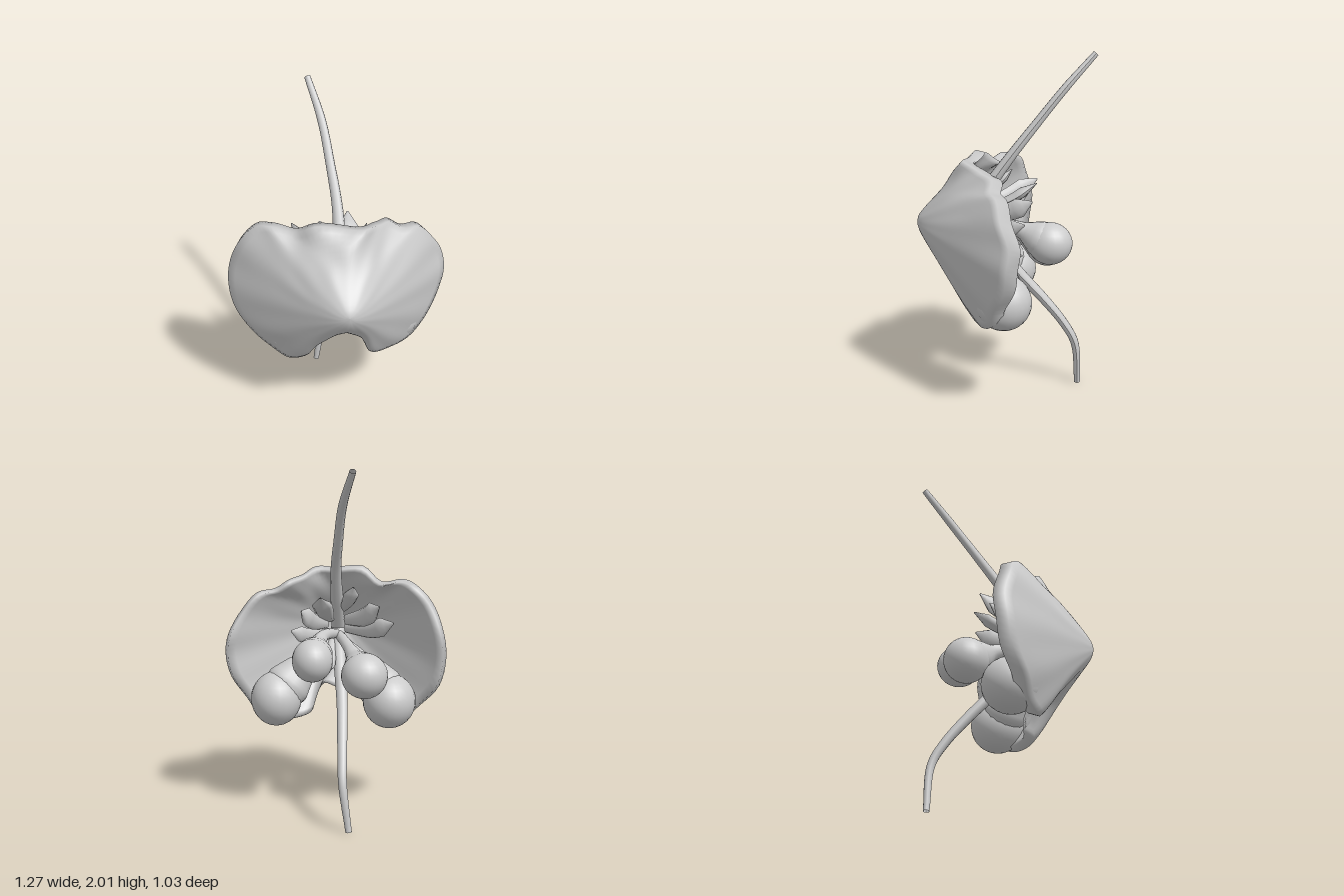
import * as THREE from 'three';

const material = new THREE.MeshStandardMaterial({ color: 0xcccccc, side: THREE.DoubleSide });
const V = (p) => new THREE.Vector3(...p);

// Smooth sweep through points; radii are spread along the length, flat squashes one axis
function sweep(name, points, radii, { flat = 1, sides = 10, segments = 24 } = {}) {
  const curve = new THREE.CatmullRomCurve3(points.map(V));
  const geo = new THREE.TubeGeometry(curve, segments, 1, sides);
  const pos = geo.attributes.position;
  const v = new THREE.Vector3();
  for (let i = 0; i <= segments; i++) {
    const centre = curve.getPointAt(i / segments);
    const f = (i / segments) * (radii.length - 1);
    const k = Math.min(Math.floor(f), radii.length - 2);
    const r = THREE.MathUtils.lerp(radii[k], radii[k + 1], f - k);
    for (let j = 0; j <= sides; j++) {
      const n = i * (sides + 1) + j;
      v.fromBufferAttribute(pos, n).sub(centre);
      v.addScaledVector(geo.binormals[i], (flat - 1) * v.dot(geo.binormals[i]));
      v.multiplyScalar(r).add(centre);
      pos.setXYZ(n, v.x, v.y, v.z);
    }
  }
  geo.computeVertexNormals();
  const mesh = new THREE.Mesh(geo, material);
  mesh.name = name;
  return mesh;
}

// Rim of the flower cup, clockwise from the top
const rim = [
  [0.02, 1.41, 0.2], [0.13, 1.41, 0.22], [0.21, 1.37, 0.12], [0.28, 1.35, 0.06],
  [0.36, 1.3, 0.05], [0.46, 1.28, 0.02], [0.55, 1.18, -0.02], [0.62, 1.05, -0.06],
  [0.64, 0.93, -0.06], [0.61, 0.79, -0.03], [0.53, 0.65, 0.02], [0.46, 0.55, 0.05],
  [0.35, 0.51, 0.1], [0.24, 0.5, 0.15], [0.16, 0.53, 0.17], [0.13, 0.62, 0.17],
  [0.08, 0.71, 0.18], [-0.02, 0.68, 0.17], [-0.12, 0.66, 0.17], [-0.18, 0.63, 0.17],
  [-0.2, 0.53, 0.17], [-0.3, 0.49, 0.13], [-0.4, 0.53, 0.08], [-0.5, 0.62, 0.03],
  [-0.6, 0.75, -0.03], [-0.635, 0.92, -0.07], [-0.615, 1.08, -0.07], [-0.55, 1.24, -0.04],
  [-0.45, 1.34, 0], [-0.38, 1.36, 0.04], [-0.26, 1.34, 0.09], [-0.15, 1.42, 0.17],
];

// Cup: outer skin from the nose to the rim, then the inner skin back again
function flowerCup() {
  const curve = new THREE.CatmullRomCurve3(rim.map(V), true);
  const around = 128, rows = 16, total = rows * 2 + 2;
  const nose = new THREE.Vector3(0, 1.03, 0.515);
  const positions = [], index = [];
  // Rim point averaged over a stretch, so the pleats fade towards the nose
  const rimPoint = (t, spread) => {
    const sum = new THREE.Vector3();
    for (let k = -6; k <= 6; k++) sum.add(curve.getPoint((t + (k / 6) * spread + 1) % 1));
    return sum.divideScalar(13);
  };
  for (let i = 0; i < total; i++) {
    const inner = i > rows;
    const s = inner ? (total - 1 - i) / rows : i / rows;
    const e = (Math.sqrt(s * s + 0.025) - 0.1581) / 0.8543;
    for (let j = 0; j < around; j++) {
      const p = rimPoint(j / around, 0.16 * (1 - s));
      const wave = 0.006 * s * s * Math.sin((j / around) * Math.PI * 34);
      const bulge = 0.045 - 0.025 * THREE.MathUtils.smoothstep(p.x, -0.1, 0.3);
      const w = inner ? s * 0.965 : s + 0.08 * s * (1 - s);
      positions.push(
        nose.x + (p.x - nose.x) * w,
        nose.y + (p.y - nose.y) * w,
        nose.z + (p.z - nose.z) * e + bulge * s * (1 - s) + wave + (inner ? -0.05 : 0.012 * s),
      );
      if (i < total - 1) {
        const a = i * around + j, b = i * around + ((j + 1) % around);
        index.push(a, b, b + around, a, b + around, a + around);
      }
    }
  }
  const geo = new THREE.BufferGeometry();
  geo.setAttribute('position', new THREE.Float32BufferAttribute(positions, 3));
  geo.setIndex(index);
  geo.computeVertexNormals();
  const mesh = new THREE.Mesh(geo, material);
  mesh.name = 'flowerCup';
  return mesh;
}

// Round berry on a bent neck that swells into it
function berry(centre, scale, bend, neckRadii) {
  const group = new THREE.Group();
  group.name = 'berry';
  const geo = new THREE.SphereGeometry(1, 24, 16);
  geo.scale(...scale);
  const body = new THREE.Mesh(geo, material);
  body.name = 'berryBody';
  body.position.set(...centre);
  group.add(body, sweep('berryNeck', [[0, 1.01, 0.22], bend, centre], neckRadii, { sides: 16 }));
  return group;
}

export function createModel() {
  const model = new THREE.Group();
  model.name = 'hangingFlower';
  model.add(flowerCup());

  // Long stems above and below
  model.add(sweep('upperStem', [
    [0.0, 1.04, 0.25], [0.0, 1.2, 0.13], [0.0, 1.42, -0.03], [-0.02, 1.6, -0.17],
    [-0.05, 1.8, -0.33], [-0.11, 1.99, -0.5],
  ], [0.04, 0.038, 0.03, 0.026, 0.024, 0.018], { segments: 40 }));
  model.add(sweep('lowerStem', [
    [0, 1.03, 0.24], [-0.02, 0.85, 0.05], [-0.04, 0.66, -0.12], [-0.045, 0.55, -0.22],
    [-0.05, 0.4, -0.34], [-0.055, 0.27, -0.41], [-0.09, 0, -0.43],
  ], [0.04, 0.036, 0.032, 0.028, 0.024, 0.018], { segments: 40 }));

  // Narrow hub joining everything to the inside of the cup
  model.add(sweep('hub', [[0, 1.03, 0.46], [0, 1.03, 0.34], [0, 1.04, 0.2]], [0.035, 0.035, 0.045, 0.005]));

  // Four berries: two with slim necks behind, two stout ones in the lower lobes
  const slim = [0.025, 0.03, 0.032, 0.035, 0.05, 0.1, 0.11];
  const stout = [0.025, 0.03, 0.05, 0.1, 0.138, 0.12];
  model.add(
    berry([0.12, 0.94, -0.26], [0.115, 0.122, 0.128], [0.08, 1.03, -0.02], slim),
    berry([-0.17, 0.85, -0.235], [0.132, 0.13, 0.13], [-0.08, 0.96, -0.02], slim),
    berry([0.35, 0.66, -0.01], [0.148, 0.16, 0.16], [0.18, 0.85, 0.1], stout),
    berry([-0.31, 0.65, 0.0], [0.155, 0.16, 0.165], [-0.16, 0.85, 0.1], stout),
  );

  // Small blunt leaves: base, tip, half width
  const leaves = [
    [[0.05, 1.1, 0.16], [0.08, 1.28, -0.18], 0.06],
    [[-0.05, 1.1, 0.16], [-0.25, 1.23, -0.17], 0.06],
    [[-0.05, 1.05, 0.16], [-0.33, 1.13, -0.12], 0.055],
    [[0.06, 1.08, 0.14], [0.19, 1.2, -0.16], 0.055],
    [[0.05, 1.03, 0.14], [0.25, 1.08, -0.12], 0.045],
    [[-0.03, 1.16, 0.16], [-0.1, 1.32, -0.03], 0.045],
    [[0.03, 0.98, 0.16], [0.05, 0.84, -0.1], 0.04],
  ];
  for (const [base, tip, width] of leaves) {
    const mid = V(base).lerp(V(tip), 0.55).add(new THREE.Vector3(0, -0.025, 0.01));
    model.add(sweep('smallLeaf', [base, mid.toArray(), tip],
      [width * 0.5, width * 0.7, width * 0.9, width, 0.005], { flat: 0.5, sides: 8, segments: 12 }));
  }
  return model;
}
